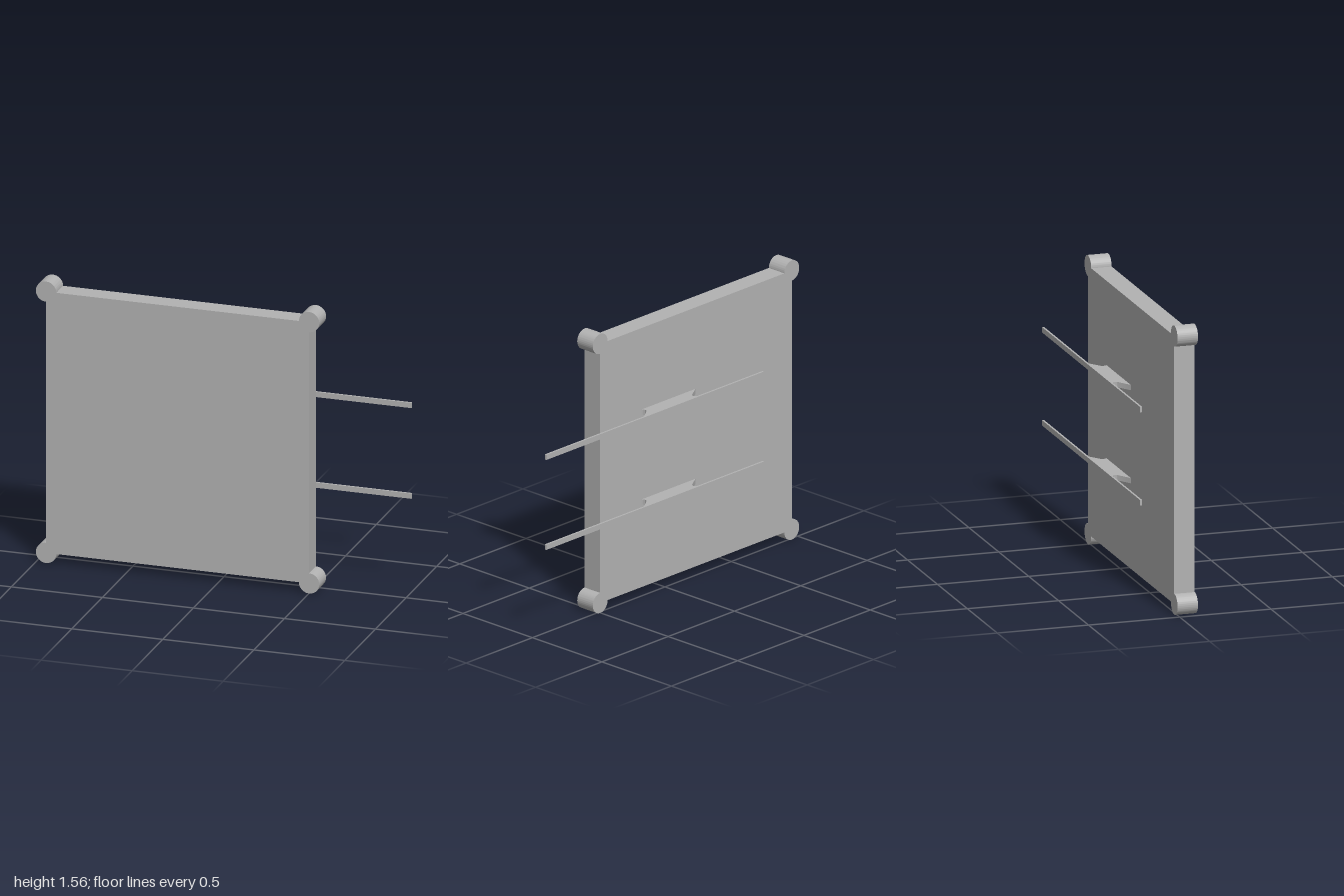
import * as THREE from 'three';
import { toCreasedNormals } from 'three/addons/utils/BufferGeometryUtils.js';

const grey = new THREE.MeshStandardMaterial({ color: 0xb2b2b2 });
grey.name = 'grey';

function extrude(name, shape, depth) {
  const geometry = new THREE.ExtrudeGeometry(shape, { depth, bevelEnabled: false, curveSegments: 40 });
  const mesh = new THREE.Mesh(toCreasedNormals(geometry, 0.5), grey);
  mesh.name = name;
  return mesh;
}

// Square panel with a round boss on each corner, drawn as one outline
function createPanel() {
  const left = -0.944, right = 0.501, bottom = 0.056, top = 1.505, radius = 0.056;
  const corners = [[left, bottom], [right, bottom], [right, top], [left, top]];
  const shape = new THREE.Shape();
  corners.forEach(([x, y], i) => {
    const start = (i + 1) * Math.PI / 2;
    shape.absarc(x, y, radius, start, start + Math.PI * 1.5, false);
  });
  const panel = extrude('panelWithCornerBosses', shape, 0.112);
  panel.position.z = -0.012;
  return panel;
}

// Rail and its hooked bracket in one profile, drawn in x and -z
function createRail(y) {
  const height = 0.029;
  const shape = new THREE.Shape();
  shape.moveTo(-0.217, 0.012);
  shape.lineTo(0.19, 0.012);
  shape.quadraticCurveTo(0.171, 0.036, 0.19, 0.048);
  shape.lineTo(0.25, 0.089);
  shape.lineTo(1, 0.089);
  shape.lineTo(1, 0.1);
  shape.lineTo(-0.642, 0.1);
  shape.lineTo(-0.642, 0.089);
  shape.lineTo(-0.152, 0.089);
  shape.quadraticCurveTo(-0.126, 0.073, -0.145, 0.057);
  shape.closePath();
  const rail = extrude('railWithBracket', shape, height);
  rail.rotation.x = -Math.PI / 2;
  rail.position.y = y - height / 2;
  return rail;
}

export function createModel() {
  const model = new THREE.Group();
  model.name = 'panelOnRails';
  model.add(createPanel());
  for (const y of [0.532, 1.035]) model.add(createRail(y));
  return model;
}
